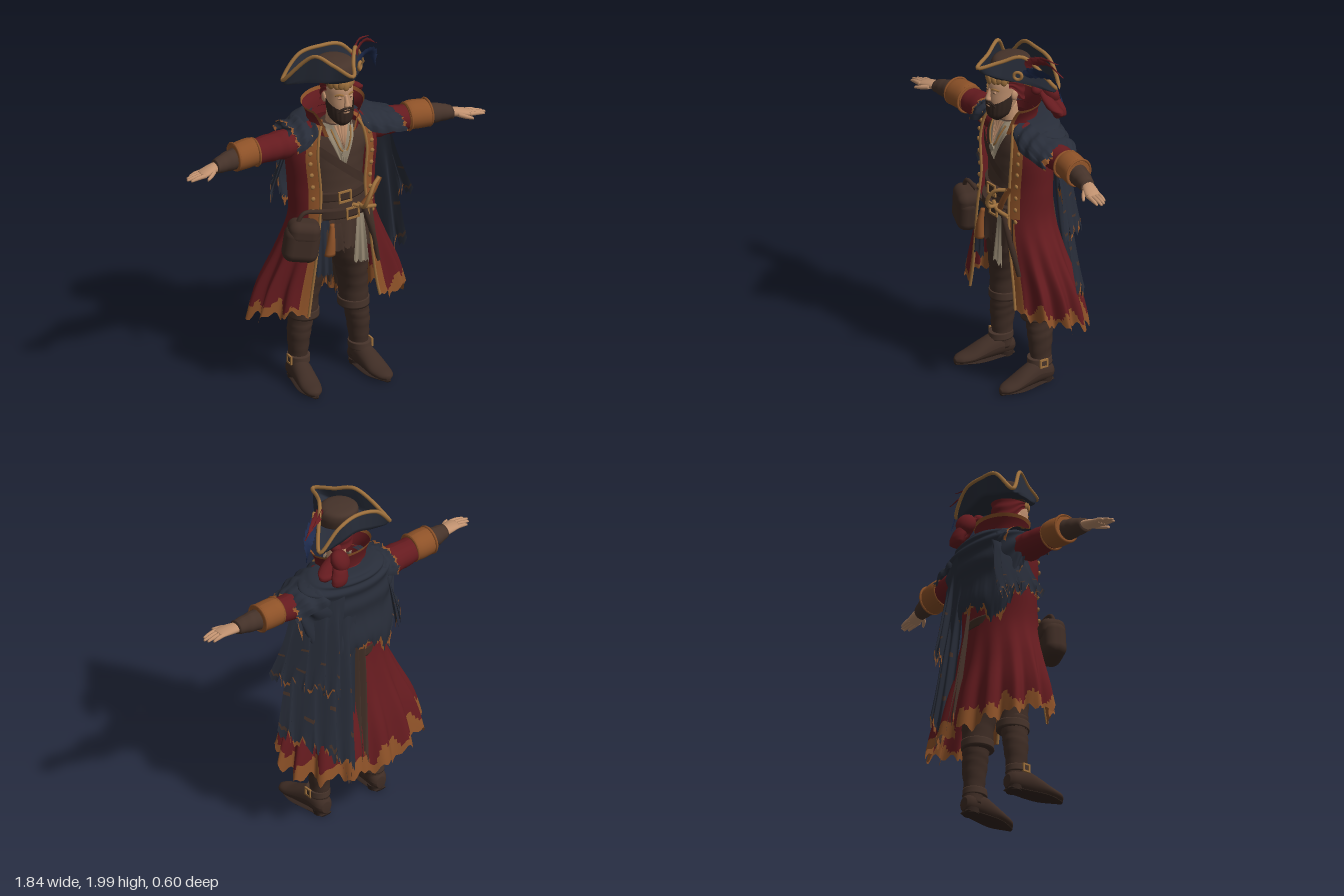
import * as THREE from 'three';
import { RoundedBoxGeometry } from 'three/addons/geometries/RoundedBoxGeometry.js';

const colours = {
  navy: 0x282d39, red: 0x651b1f, trim: 0x8e5228, leather: 0x3f2d25, brown: 0x46332a,
  skin: 0xc0916f, beard: 0x33251f, linen: 0x978973, gold: 0x9c6f3c, featherBlue: 0x1d2a4c,
};
const M = {};
for (const k in colours) {
  M[k] = new THREE.MeshStandardMaterial({ color: colours[k], side: THREE.DoubleSide });
  M[k].name = k;
}
const { sin, cos, PI, min, max, floor, sqrt, abs } = Math;
const vec = p => new THREE.Vector3(...p);
const curve = (pts, closed) => new THREE.CatmullRomCurve3(pts.map(vec), closed);
const lerp = THREE.MathUtils.lerp, smooth = THREE.MathUtils.smoothstep;
const tear = u => 0.6 * sin(u * 87) + 0.4 * sin(u * 211 + 1);
// Smooth interpolation through rows of numbers
function at(rows, t) {
  const n = rows.length, s = min(max(t, 0), 1) * (n - 1), i = min(floor(s), n - 2), f = s - i;
  return rows[0].map((_, c) => {
    const [a, b, d, e] = [-1, 0, 1, 2].map(k => rows[min(max(i + k, 0), n - 1)][c]);
    return b + 0.5 * f * (d - a + f * (2 * a - 5 * b + 4 * d - e + f * (3 * (b - d) + e - a)));
  });
}

export function createModel() {
  const root = new THREE.Group();
  root.name = 'seaCaptain';
  const add = (name, geo, mat, pos = [0, 0, 0], rot = [0, 0, 0], scale = [1, 1, 1]) => {
    const m = new THREE.Mesh(geo, mat);
    m.name = name;
    m.position.set(...pos); m.rotation.set(...rot); m.scale.set(...scale);
    root.add(m);
  };
  const ball = (name, mat, pos, scale, rot) => add(name, new THREE.SphereGeometry(1, 16, 12), mat, pos, rot, scale);
  // Grid surface from f(u, v); pick chooses one of the materials for each cell
  function sheet(name, f, nu, nv, mats, pick = () => 0) {
    const pos = [], idx = mats.map(() => []), g = new THREE.BufferGeometry();
    for (let j = 0; j <= nv; j++) for (let i = 0; i <= nu; i++) pos.push(...f(i / nu, j / nv));
    for (let j = 0; j < nv; j++) for (let i = 0; i < nu; i++) {
      const a = j * (nu + 1) + i, b = a + nu + 1;
      idx[pick((i + 0.5) / nu, (j + 0.5) / nv)].push(a, b, a + 1, a + 1, b, b + 1);
    }
    g.setAttribute('position', new THREE.Float32BufferAttribute(pos, 3));
    g.setIndex(idx.flat());
    idx.reduce((start, l, k) => { g.addGroup(start, l.length, k); return start + l.length; }, 0);
    g.computeVertexNormals();
    add(name, g, mats);
  }
  // Closed body through ellipses [x, y, z, ra, rb] square to an axis, with optional wrinkles
  function loft(name, rows, mat, axis = 'y', wrinkle = 0, n = 24) {
    const m = (rows.length - 1) * 5;
    sheet(name, (u, v) => {
      const k = Math.round(v * (m + 2)) - 1, [x, y, z, ra, rb] = at(rows, k / m);
      const e = k < 0 || k > m ? 0 : 1 + wrinkle * sin(k * 1.9 + 2 * sin(u * 2 * PI));
      const c = max(ra, 0.001) * e * cos(u * 2 * PI), s = max(rb, 0.001) * e * sin(u * 2 * PI);
      return axis === 'y' ? [x + c, y, z + s] : axis === 'x' ? [x, y + c, z + s] : [x + c, y + s, z];
    }, n, m + 2, [mat]);
  }
  const tube = (name, pts, r, mat) => add(name, new THREE.TubeGeometry(curve(pts), 48, r, 8), mat);
  function buckle(pos, w, h, rot) {
    const box = (P, a, b) => new P().moveTo(-a, -b).lineTo(a, -b).lineTo(a, b).lineTo(-a, b).closePath();
    const s = box(THREE.Shape, w / 2, h / 2);
    s.holes.push(box(THREE.Path, w / 2 - 0.01, h / 2 - 0.01));
    add('buckle', new THREE.ExtrudeGeometry(s, { depth: 0.01, bevelEnabled: false }), M.gold, pos, rot);
  }

  // Torso, and a lookup for things lying on the chest
  const torso = [[0, .85, .03, .19, .14], [0, .97, .03, .19, .15], [0, 1.09, .03, .18, .15], [0, 1.21, .03, .18, .145],
    [0, 1.33, .03, .19, .145], [0, 1.45, .035, .2, .13], [0, 1.57, .07, .07, .07]];
  const chest = (x, y, off) => {
    const [, , z, a, b] = at(torso, (y - 0.85) / 0.72);
    return [x, y, z + b * sqrt(max(0, 1 - (x / a) ** 2)) + off];
  };
  loft('vest', torso, M.brown, 'y', 0.006, 36);
  for (const [name, low, w, off, mat] of [['shirt', 1.31, .105, .012, M.linen], ['bareChest', 1.43, .045, .018, M.skin]])
    sheet(name, (u, v) => chest((u * 2 - 1) * w * (1 - v), lerp(1.57, low, v), off + .004 * sin(u * 28)), 16, 14, [mat]);
  sheet('baldric', (u, v) => chest(lerp(-.15, .15, u), lerp(1.45, 1.2, u) + (v - .5) * .06, .02), 20, 3, [M.leather]);
  tube('necklace', [-.06, -.045, -.02, 0, .02, .045, .06].map(x => chest(x, 1.42 + 36 * x * x, .024)), .005, M.gold);
  add('pendant', new THREE.CylinderGeometry(.02, .02, .01, 16), M.linen, chest(0, 1.41, .026), [PI / 2, 0, 0]);
  // Belts and the things hung on them
  for (const [x, y, h, g] of [[0, 1.15, .05, .016], [.04, 1.05, .055, .028]]) {
    const [, , z, a, b] = at(torso, (y - 0.85) / 0.72);
    loft('belt', [-.5, .5].map(k => [0, y + k * h, z, a + g, b + g]), M.leather, 'y', 0, 40);
    buckle([x, y, z + b + g], .08, .07, [0, 0, .05]);
  }
  for (const [name, x, y0, y1, w0, w1, z, mat] of [['linenSash', .09, 1.03, .75, .04, .09, .205, M.linen], ['navySash', -.125, 1.02, .7, .07, .1, .18, M.navy],
    ['vestTail', .1, 1.03, .83, .16, .2, .175, M.brown], ['vestTail', -.1, 1.03, .83, .16, .2, .175, M.brown]])
    sheet(name, (u, v) => [x + (u - .5) * lerp(w0, w1, v), lerp(y0, y1, v) + .03 * v ** 4 * tear(u), z + .01 * v * (1 + sin(u * 14))], 14, 8, [mat]);
  loft('powderHorn', [[-.08, 1, .2, .012, .012], [-.09, .92, .21, .02, .02], [-.1, .82, .21, .032, .025]], M.trim);
  add('pouch', new RoundedBoxGeometry(.2, .21, .13, 5, .055), M.leather, [-.265, .92, .185], [0, -.35, -.14]);
  add('pouchFlap', new RoundedBoxGeometry(.18, .13, .145, 5, .05), M.leather, [-.25, .99, .185], [0, -.35, -.14]);
  tube('pouchStrap', [[-.3, 1.02, .18], [-.25, 1.1, .19], [-.14, 1.09, .2]], .012, M.leather);
  tube('swordGuard', [[.08, 1.09, .2], [.08, 1.1, .27], [.1, 1.16, .29], [.14, 1.22, .27], [.19, 1.235, .23]], .011, M.gold);
  tube('swordGrip', [[.1, 1.08, .21], [.15, 1.15, .225], [.2, 1.235, .22]], .016, M.trim);
  tube('swordCross', [[.04, 1.1, .21], [.1, 1.08, .23], [.18, 1.06, .21]], .011, M.gold);
  tube('scabbard', [[.11, 1.07, .2], [.17, .9, .19], [.22, .7, .16]], .017, M.leather);

  // Legs, boots, arms and hands
  for (const s of [1, -1]) {
    const limb = (name, rows, ...rest) => loft(name, rows.map(([x, ...r]) => [x * s, ...r]), ...rest);
    limb('breeches', [[.155, .38, 0, .082, .088], [.152, .5, 0, .08, .092], [.135, .62, .01, .09, .1], [.11, .76, .02, .102, .12], [.1, .9, .02, .1, .12]], M.leather, 'y', .025);
    limb('breechesCuff', [[.155, .385, 0, .088, .094], [.155, .43, 0, .087, .094]], M.brown);
    limb('bootShaft', [[.19, .06, -.005, .052, .057], [.187, .16, 0, .053, .06], [.182, .28, 0, .064, .072], [.172, .36, 0, .068, .075], [.165, .46, 0, .07, .08]], M.leather, 'y', .03);
    limb('bootFoot', [[.19, .055, -.07, .03, .035], [.192, .064, -.04, .052, .057], [.197, .075, .04, .057, .068], [.205, .06, .12, .06, .054],
      [.213, .04, .2, .06, .034], [.22, .032, .26, .044, .024], [.222, .028, .29, .012, .012]], M.leather, 'z');
    limb('bootSole', [[.19, .008, -.065, .035, .008], [.195, .008, .03, .05, .008], [.21, .008, .17, .058, .008], [.222, .01, .285, .015, .008]], M.beard, 'z');
    add('bootHeel', new THREE.CylinderGeometry(.048, .045, .03, 20), M.beard, [s * .19, .016, -.02]);
    limb('bootStrap', [[.19, .115, .008, .063, .073], [.188, .155, .008, .062, .07]], M.brown);
    buckle([s * .245, .135, .02], .05, .05, [0, s * PI / 2, 0]);
    limb('sleeve', [[.17, 1.45, .01, .06, .08], [.26, 1.453, .01, .08, .085], [.36, 1.452, .01, .076, .08], [.5, 1.45, .02, .07, .07]], M.red, 'x', .025);
    limb('cuff', [[.46, 1.457, .02, .074, .074], [.5, 1.457, .02, .082, .08], [.57, 1.453, .026, .08, .08], [.6, 1.45, .03, .074, .075]], M.trim, 'x');
    for (const x of [.47, .595]) add('cuffRope', new THREE.TorusGeometry(.077, .007, 6, 28), M.trim, [s * x, 1.454, .025], [0, PI / 2, 0]);
    limb('bracer', [[.58, 1.447, .03, .062, .06], [.66, 1.443, .04, .053, .052], [.73, 1.437, .055, .038, .042]], M.brown, 'x', .025);
    limb('palm', [[.71, 1.437, .05, .026, .034], [.76, 1.434, .065, .024, .042], [.81, 1.428, .078, .018, .044], [.835, 1.425, .08, .012, .042]], M.skin, 'x');
    [.05, .075, .085, .07].forEach((len, k) => {
      const z = .05 + k * .021;
      limb('finger', [[.815, 1.427, z, .012, .012], [.83 + len / 2, 1.422, z, .011, .0115], [.835 + len, 1.413, z, .006, .007]], M.skin, 'x', 0, 10);
    });
    limb('thumb', [[.75, 1.43, .09, .014, .018], [.785, 1.422, .122, .013, .014], [.82, 1.415, .145, .008, .008]], M.skin, 'x', 0, 12);
  }

  // Long coat: open at the front, pleated and torn toward the hem
  const coat = [[1.6, .12, .1, .04, .09], [1.54, .23, .14, .03, .13], [1.4, .27, .165, .03, .15], [1.2, .258, .165, .03, .135],
    [1, .255, .185, .035, .15], [.8, .325, .2, .015, .17], [.6, .405, .225, -.015, .195], [.42, .45, .25, -.03, .22]];
  const coatAt = (u, v, out = 0) => {
    const [y, rx, rz, cz, open] = at(coat, v), start = Math.asin(min(open / rx, 1)), a = lerp(start, 2 * PI - start, u);
    const k = 1 + out + .075 * smooth(v, .5, 1) * sin(a * 14) * smooth(min(u, 1 - u), 0, .1);
    return [rx * k * sin(a), y + v ** 8 * (.07 * cos(a) + .035 * tear(u)), cz + rz * k * cos(a)];
  };
  sheet('longCoat', (u, v) => coatAt(u, v), 168, 60, [M.red, M.trim], (u, v) =>
    (min(u, 1 - u) < (v < .55 ? .06 : .028) || v > .935 + .022 * sin(u * 55) + .015 * sin(u * 131) ? 1 : 0));
  for (const s of [0, 1]) {
    tube('coatEdge', Array.from({ length: 14 }, (_, i) => coatAt(s, .08 + i * .069, .01)), .008, M.gold);
    for (let i = 0; i < 9; i++) ball('coatButton', M.gold, coatAt(abs(s - .035), .16 + i * .05, .02), [.013, .013, .009]);
  }
  const collar = [[1.55, .15, .115, .05], [1.62, .155, .12, .05], [1.685, .185, .14, .05]];
  sheet('collar', (u, v) => {
    const [y, rx, rz, cz] = at(collar, v), start = lerp(.5, 1, v), a = lerp(start, 2 * PI - start, u);
    return [rx * sin(a), y - .05 * (1 - v) * max(0, cos(a)) - .02 * v * cos(a), cz + rz * cos(a)];
  }, 60, 12, [M.red, M.trim], (u, v) => (v > .84 || min(u, 1 - u) < .03 ? 1 : 0));

  // Cape: mantle on the back, pieces over the shoulders, then hanging lengths
  const mantle = [[1.6, .13, .11, .03], [1.59, .22, .15, .01], [1.555, .31, .16, 0], [1.49, .365, .165, 0], [1.32, .37, .165, 0], [1.02, .37, .18, 0]];
  sheet('mantle', (u, v) => {
    const a = lerp(1.2, 2 * PI - 1.2, u), [y, rx, rz, cz] = at(mantle, v), k = 1 + .035 * sin(v * 34 + 5 * cos(a)) * smooth(v, .1, .5);
    const w = .14 + .86 * smooth(-cos(a), 0, .75) - .2 * smooth(-cos(a), .85, 1);
    return [rx * k * sin(a) * (a > PI ? .8 : 1), (y < 1.49 ? 1.49 - (1.49 - y) * w : y) + .03 * v ** 10 * tear(u), cz + rz * k * cos(a)];
  }, 110, 50, [M.navy, M.trim], (u, v) => (v > .985 + .02 * sin(u * 60) ? 1 : 0));
  const shoulder = [[.135, 1.595, 1.53, .13], [.22, 1.578, 1.47, .15], [.32, 1.552, 1.45, .14], [.42, 1.5, 1.42, .115]];
  for (const [s, reach] of [[1, 1], [-1, .5]]) sheet('shoulderCape', (u, v) => {
    const [x, top, low, rz] = at(shoulder, v * reach), ripple = sin(v * reach * 22 + u * 5);
    return [s * (x + .012 * v * tear(u * .5)), lerp(low, top, max(0, sin(PI * u)) ** .8) + .006 * ripple, .015 + rz * (1 + .04 * ripple) * cos(PI * u)];
  }, 40, 20, [M.navy, M.trim], (u, v) => (v > .93 + .05 * sin(u * 30) ? 1 : 0));
  const drape = (name, s, x0, x1, drop0, drop1, z, curl, cloth) => sheet(name, (u, v) => {
    const wave = sin(u * 24 + v) * smooth(v, 0, .6);
    return [s * (lerp(x0, x1, u) + v * lerp(.06, .14, u) + .012 * wave), 1.5 - .05 * u - v * lerp(drop0, drop1, u) + .05 * v ** 8 * tear(u * .8),
      lerp(-.155 + .17 * u * u, z + curl * u * u, v ** 1.5) + .02 * wave];
  }, 64, 40, [cloth, M.trim, M.brown], (u, v) => (v > .985 + .02 * sin(u * 47) ? 1 : v > .5 && sin(u * 11) * sin(v * 25) > .9 ? 2 : 0));
  drape('longCape', 1, .05, .36, 1.12, .78, -.26, .24, M.navy);
  drape('capeFold', 1, .13, .36, .6, .44, -.215, .27, M.navy);
  drape('capeFlap', -1, .16, .24, .34, .3, -.15, .2, M.navy);
  drape('capeLining', 1, -.02, .06, 1.04, 1.1, -.245, -.01, M.brown);

  // Head, face and beard
  loft('neck', [[0, 1.46, .065, .06, .055], [0, 1.56, .08, .055, .055], [0, 1.66, .1, .055, .06]], M.skin);
  loft('head', [[0, 1.59, .145, .025, .035], [0, 1.63, .13, .055, .07], [0, 1.69, .125, .07, .086], [0, 1.75, .115, .077, .095],
    [0, 1.81, .11, .078, .098], [0, 1.87, .1, .06, .08]], M.skin, 'y', 0, 32);
  loft('nose', [[0, 1.775, .203, .008, .01], [0, 1.735, .217, .012, .014], [0, 1.714, .22, .018, .016], [0, 1.702, .212, .012, .01]], M.skin);
  const beard = [[1.685, .125, .079, .096], [1.64, .13, .075, .09], [1.6, .138, .06, .073], [1.57, .15, .012, .02]];
  sheet('beard', (u, v) => {
    const [y, cz, rx, rz] = at(beard, v), a = (u - .5) * 3.5, k = 1 + .012 * sin(u * 70);
    return [rx * k * sin(a), y + (1 - v) * .05 * (1 - cos(a)), cz + rz * k * cos(a)];
  }, 56, 14, [M.beard]);
  ball('lip', M.skin, [0, 1.672, .217], [.02, .006, .006]);
  for (const s of [1, -1]) {
    tube('moustache', [[0, 1.695, .216], [s * .022, 1.692, .213], [s * .045, 1.672, .2]], .007, M.beard);
    ball('eyelid', M.skin, [s * .032, 1.756, .199], [.015, .008, .006]);
    ball('eye', M.beard, [s * .032, 1.754, .203], [.008, .003, .003]);
    tube('brow', [[s * .014, 1.772, .207], [s * .034, 1.778, .202], [s * .055, 1.77, .182]], .006, M.gold);
    ball('ear', M.skin, [s * .079, 1.735, .1], [.012, .03, .02]);
  }
  for (let i = 0; i < 9; i++) {
    const a = (i - 4) * .33, r = .1 + .006 * sin(i * 5);
    ball('hairLock', M.gold, [.078 * sin(a), 1.84 - .012 * abs(sin(i * 2)), .108 + r * cos(a)], [.02, .028, .012], [0, a, .5 * sin(i * 4)]);
  }
  sheet('bandana', (u, v) => {
    const a = lerp(1.25, 2 * PI - 1.25, u), k = 1 + .03 * sin(v * 20);
    return [.09 * k * sin(a), 1.85 - v * (.06 + .11 * smooth(-cos(a), -.3, .8)), .105 + .11 * k * cos(a)];
  }, 40, 16, [M.red]);
  ball('bandanaKnot', M.red, [.1, 1.74, -.035], [.03, .03, .035]);
  ball('bandanaBow', M.red, [.125, 1.705, -.105], [.06, .068, .045], [.5, .3, -.5]);
  for (const [d, y] of [[0, 1.57], [.05, 1.6]]) loft('bandanaTail', [[.1, 1.74, -.06, .02, .02], [.14 + d, 1.67, -.12 + d, .045, .035],
    [.16 + d, y + .03, -.145 + d, .05, .03], [.16 + d, y, -.14 + d, .02, .012]], M.red, 'y', .03);

  // Three-cornered hat with corded rim, its sides leaning in over the crown
  const ringOf = half => curve([...half, ...half.slice(1, -1).reverse().map(([x, y, z]) => [-x, y, z])], true);
  const inner = ringOf([[0, 1.85, .21], [.06, 1.84, .18], [.088, 1.835, .11], [.075, 1.83, .04], [.045, 1.83, .005], [0, 1.83, -.005]]);
  const fold = ringOf([[0, 1.885, .27], [.085, 1.855, .175], [.165, 1.82, .06], [.24, 1.775, -.06], [.12, 1.8, -.085], [0, 1.83, -.09]]);
  const rim = ringOf([[0, 1.92, .29], [.06, 1.95, .18], [.125, 1.978, .075], [.245, 1.795, -.075], [.13, 1.92, -.1], [0, 1.945, -.09]]);
  sheet('hatBrim', (u, v) => {
    const m = fold.getPoint(u);
    return (v < .5 ? inner.getPoint(u).lerp(m, v * 2) : m.lerp(rim.getPoint(u), v * 2 - 1)).toArray();
  }, 96, 12, [M.navy]);
  add('hatCord', new THREE.TubeGeometry(rim, 120, .011, 8, true), M.gold);
  loft('hatCrown', [[0, 1.83, .08, .11, .1], [0, 1.89, .07, .115, .11], [0, 1.93, .06, .09, .09], [0, 1.94, .06, .005, .005]], M.brown);
  add('hatRosette', new THREE.TorusGeometry(.022, .009, 8, 20), M.gold, [.135, 1.88, .115], [0, .8, 0]);
  // Feathers with ragged barbs
  for (const [mat, w, ...pts] of [[M.red, .036, [.1, 1.87, .1], [.15, 1.945, .06], [.23, 1.96, 0], [.33, 1.9, -.05]],
    [M.red, .034, [.11, 1.88, .08], [.14, 1.94, .05], [.19, 1.97, 0], [.28, 1.96, -.05]],
    [M.featherBlue, .048, [.11, 1.86, .1], [.2, 1.9, .04], [.285, 1.87, -.02], [.32, 1.75, -.05]]]) {
    const c = curve(pts);
    sheet('feather', (u, v) => {
      const p = c.getPoint(u), t = c.getTangent(u), s = (v - .5) * 2;
      const k = w * sin(PI * min(1, u ** .8 + .04)) * s * (1 - .3 * ((u * 9) % 1));
      return [p.x - t.y * k, p.y + t.x * k, p.z + k * .5 - .008 * s * s];
    }, 54, 4, [mat]);
  }
  return root;
}
